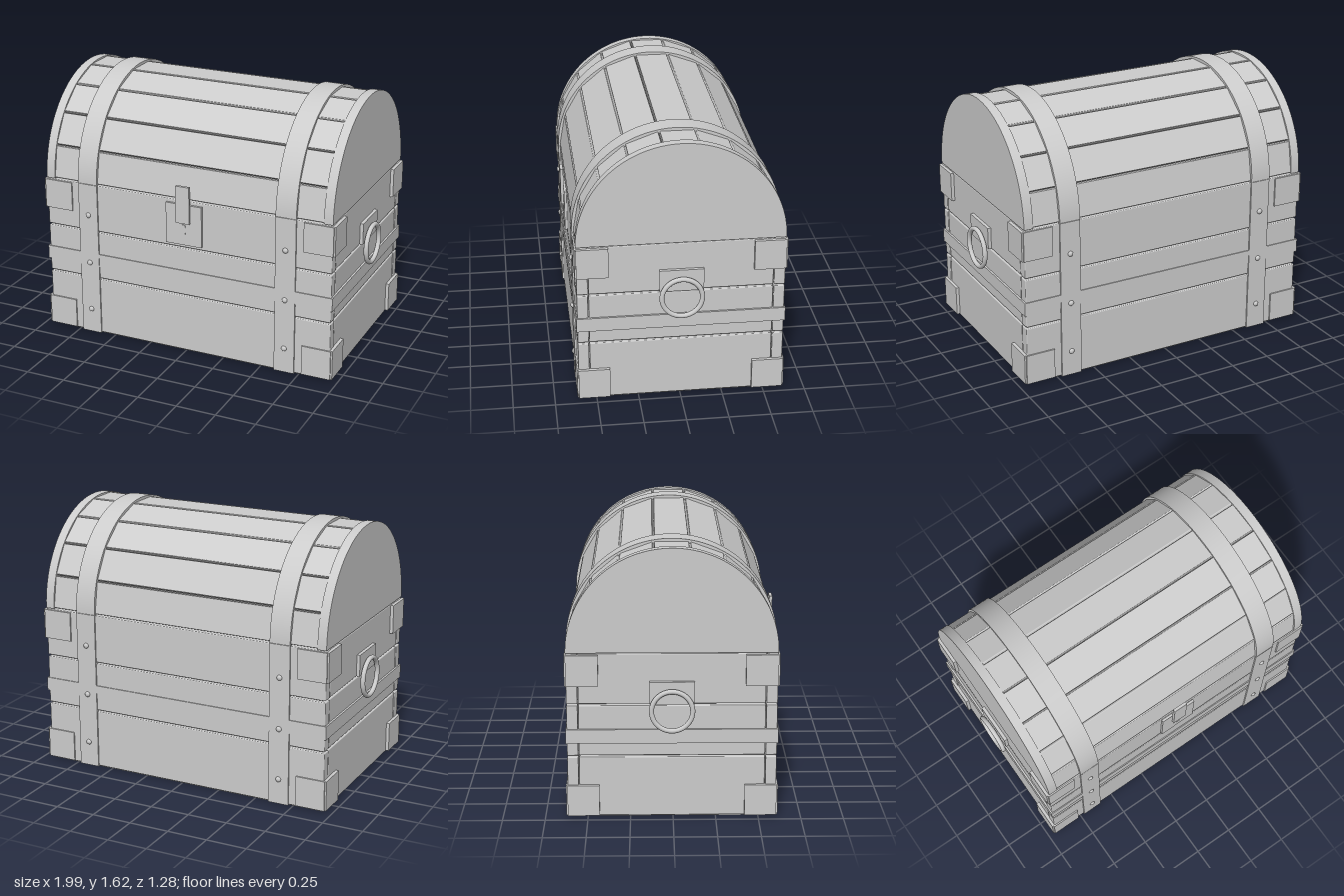
import * as THREE from 'three';
import { RoundedBoxGeometry } from 'three/addons/geometries/RoundedBoxGeometry.js';
import { toCreasedNormals } from 'three/addons/utils/BufferGeometryUtils.js';

export function createModel() {
  const chest = new THREE.Group();
  chest.name = 'treasureChest';
  chest.position.z = -0.006;
  const grey = new THREE.MeshStandardMaterial({ color: 0xcccccc });
  grey.name = 'plain grey';

  const add = (name, geometry, x = 0, y = 0, z = 0) => {
    const mesh = new THREE.Mesh(geometry, grey);
    mesh.name = name;
    mesh.position.set(x, y, z);
    chest.add(mesh);
    return mesh;
  };
  // box given by its limits on each axis
  const box = (name, x0, x1, y0, y1, z0, z1, bevel = 0) => {
    const size = [x1 - x0, y1 - y0, z1 - z0];
    const geometry = bevel ? new RoundedBoxGeometry(...size, 2, bevel) : new THREE.BoxGeometry(...size);
    return add(name, geometry, (x0 + x1) / 2, (y0 + y1) / 2, (z0 + z1) / 2);
  };
  // box placed by its centre across z, with thickness running outward on the given side
  const onFace = (name, s, x0, x1, y0, y1, inner, outer) =>
    box(name, x0, x1, y0, y1, Math.min(s * inner, s * outer), Math.max(s * inner, s * outer));
  const onEnd = (name, s, z0, z1, y0, y1, inner, outer) =>
    box(name, Math.min(s * inner, s * outer), Math.max(s * inner, s * outer), y0, y1, z0, z1);

  const W = 0.947, D = 0.611, LID = 1.005;

  // floor and plank walls
  box('floor', -0.935, 0.935, 0, 0.06, -0.6, 0.6);
  for (const [y0, y1] of [[0.006, 0.372], [0.382, 0.688], [0.698, 1]]) {
    for (const s of [-1, 1]) {
      const zc = s * (D - 0.0325), xc = s * (W - 0.0325);
      box('longPlank', -W, W, y0, y1, zc - 0.0325, zc + 0.0325, 0.006);
      box('endPlank', xc - 0.03, xc + 0.03, y0, y1, -0.542, 0.542, 0.006);
    }
  }

  // band around the middle
  for (const s of [-1, 1]) {
    onFace('bandLong', s, -0.957, 0.957, 0.46, 0.545, D - 0.02, D + 0.006);
    onEnd('bandEnd', s, -D, D, 0.46, 0.545, W - 0.02, 0.957);
  }

  // corner plates
  for (const [y0, y1] of [[0.012, 0.2], [0.81, 0.995]])
    for (const sx of [-1, 1])
      for (const sz of [-1, 1]) {
        const x = [sx * 0.77, sx * 0.955].sort((a, b) => a - b);
        const z = [sz * 0.425, sz * 0.612].sort((a, b) => a - b);
        onFace('cornerPlate', sz, ...x, y0, y1, D - 0.01, D + 0.009);
        onEnd('cornerPlate', sx, ...z, y0, y1, W - 0.01, 0.965);
      }

  // arched piece running along x, hollow when an inner radius is given
  const arch = (name, x0, x1, outer, inner = 0) => {
    const shape = new THREE.Shape();
    shape.absarc(0, 0, outer, 0, Math.PI, false);
    if (inner) {
      shape.lineTo(-inner, 0);
      shape.absarc(0, 0, inner, Math.PI, 0, true);
    }
    shape.closePath();
    const geometry = new THREE.ExtrudeGeometry(shape, { depth: x1 - x0, bevelEnabled: false, curveSegments: 40 });
    geometry.rotateY(Math.PI / 2);
    return add(name, toCreasedNormals(geometry, 0.5), x0, LID, 0);
  };

  // lid: nine flat planks between two solid arched ends
  const count = 9;
  for (let i = 0; i < count; i++) {
    const a = (i + 0.5) * Math.PI / count;
    const plank = add('lidPlank', new RoundedBoxGeometry(1.79, 0.035, 0.2, 2, 0.005),
      0, LID + Math.sin(a) * 0.5825, Math.cos(a) * 0.5825);
    plank.rotation.x = Math.PI / 2 - a;
  }
  arch('lidEnd', -W, -0.89, 0.612);
  arch('lidEnd', 0.89, W, 0.612);

  // iron straps with rivets
  for (const s of [-1, 1]) {
    const x = s * 0.658;
    arch('lidStrap', x - 0.065, x + 0.065, 0.619, 0.596);
    for (const f of [-1, 1]) {
      onFace('bodyStrap', f, x - 0.065, x + 0.065, 0.003, 1.003, D - 0.01, D + 0.009);
      for (const y of [0.16, 0.48, 0.8]) {
        const rivet = add('rivet', new THREE.SphereGeometry(0.017, 16, 10), x, y, f * 0.62);
        rivet.scale.z = 0.75;
      }
    }
  }

  // lock on the front
  box('lockPlate', -0.118, 0.118, 0.72, 0.98, 0.6, 0.626);
  box('hasp', -0.045, 0.045, 0.865, 1.1, 0.624, 0.643);
  const keyTop = add('keyholeTop', new THREE.CylinderGeometry(0.014, 0.014, 0.006, 16), 0, 0.84, 0.628);
  keyTop.rotation.x = Math.PI / 2;
  box('keyholeSlot', -0.011, 0.011, 0.79, 0.845, 0.625, 0.631);

  // ring handles on both ends
  for (const s of [-1, 1]) {
    onEnd('handlePlate', s, -0.13, 0.13, 0.7, 0.835, W - 0.01, 0.965);
    const ring = add('handleRing', new THREE.TorusGeometry(0.119, 0.0145, 14, 40), s * 0.983, 0.664, 0);
    ring.rotation.y = Math.PI / 2;
  }
  return chest;
}
